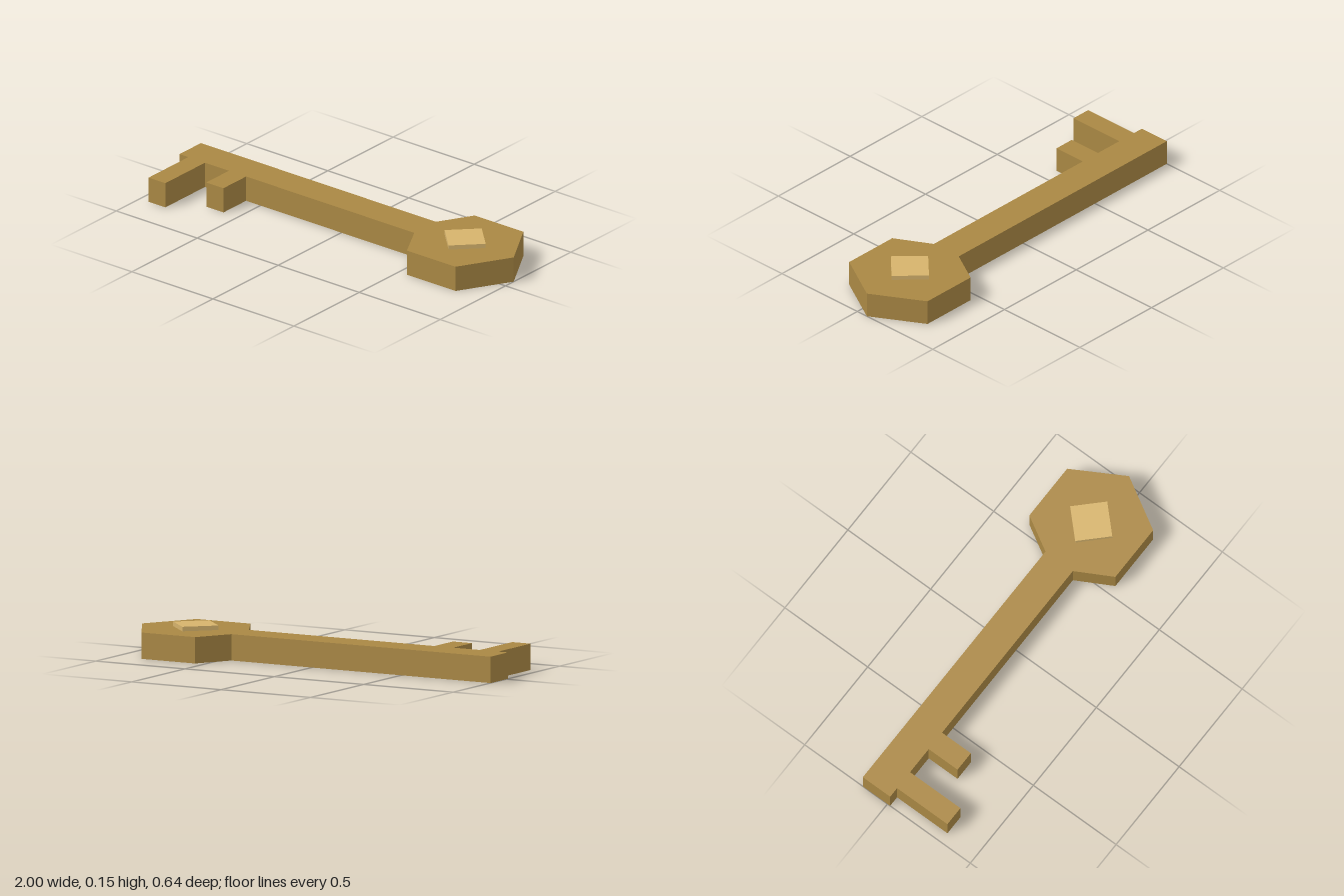
import * as THREE from 'three';

const THICK = 0.128;      // key body thickness
const BOW = { x: 0.7, z: -0.063, r: 0.3 };

// Upright prism from a plan outline of [x, z] points
function prism(name, outline, y0, y1, material) {
  const shape = new THREE.Shape(outline.map(([x, z]) => new THREE.Vector2(x, -z)));
  const geometry = new THREE.ExtrudeGeometry(shape, { depth: y1 - y0, bevelEnabled: false });
  geometry.rotateX(-Math.PI / 2);
  geometry.translate(0, y0, 0);
  const mesh = new THREE.Mesh(geometry, material);
  mesh.name = name;
  return mesh;
}

// Point on a circle round the centre of the bow
function bowPoint(degrees, r) {
  const a = THREE.MathUtils.degToRad(degrees);
  return [BOW.x + r * Math.cos(a), BOW.z + r * Math.sin(a)];
}

export function createModel() {
  const brass = new THREE.MeshStandardMaterial({ color: 0xaa8844 });
  brass.name = 'brass';
  const paleGold = new THREE.MeshStandardMaterial({ color: 0xd6b36c });
  paleGold.name = 'pale gold';

  const key = new THREE.Group();
  key.name = 'key';

  // Shaft, two teeth and hexagonal bow in one continuous outline
  const back = -0.149, front = 0.016;
  const teeth = [[-0.945, -0.842, 0.32], [-0.694, -0.588, 0.19]];
  const outline = [
    [-1, back], [-1, front],
    ...teeth.flatMap(([x0, x1, z]) => [[x0, front], [x0, z], [x1, z], [x1, front]]),
    [0.45, front],
    ...[120, 60, 0, -60, -120].map((d) => bowPoint(d, BOW.r)),
    [0.45, back],
  ];
  key.add(prism('keyBody', outline, 0, THICK, brass));

  // Raised diamond set into the top of the bow
  const diamond = [0, 90, 180, 270].map((d) => bowPoint(d, 0.127));
  key.add(prism('diamondInlay', diamond, THICK - 0.02, 0.15, paleGold));

  return key;
}
